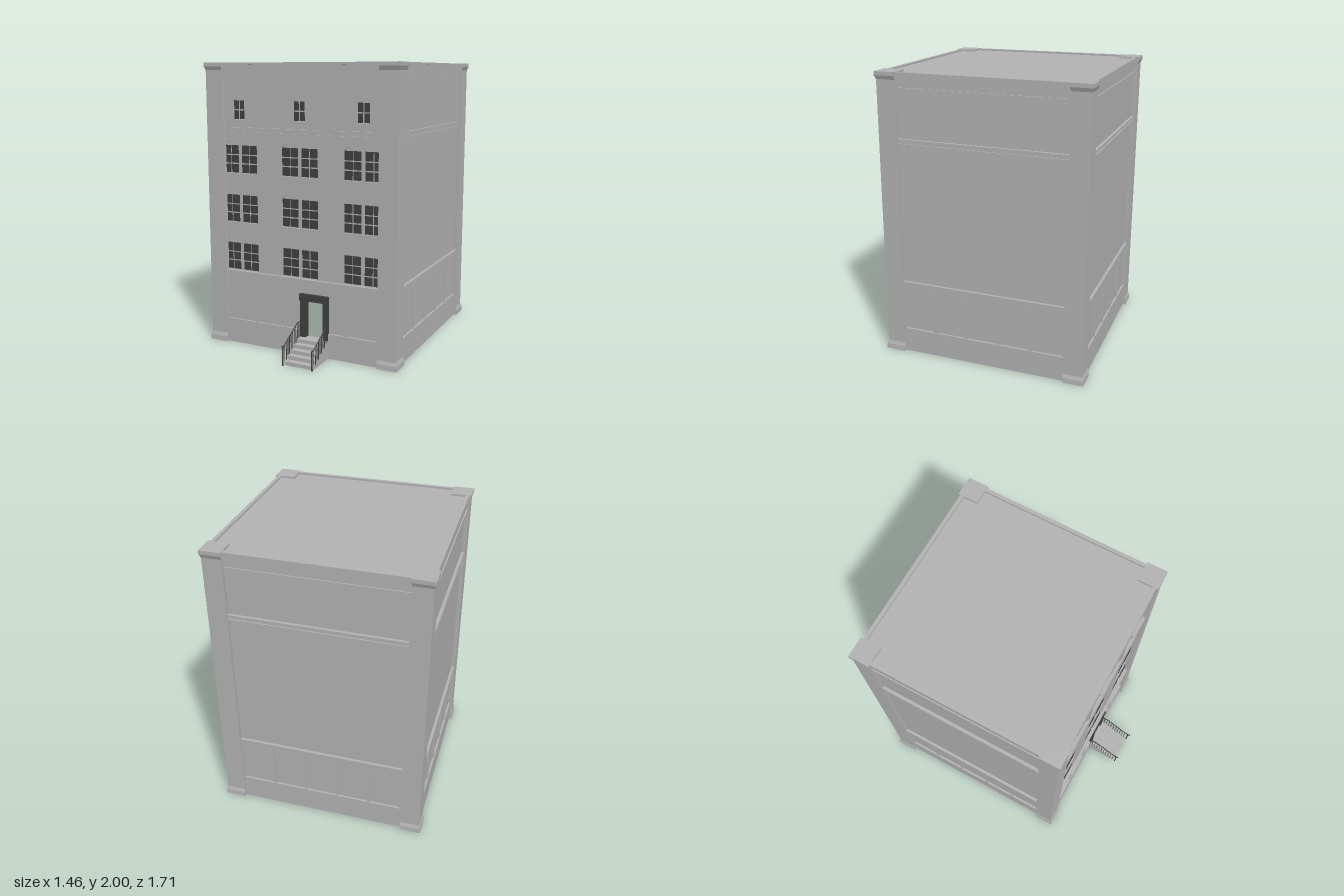
import * as THREE from 'three';

const stone = new THREE.MeshStandardMaterial({ color: 0xb3b3b3, side: THREE.DoubleSide });
stone.name = 'greyStone';
const dark = new THREE.MeshStandardMaterial({ color: 0x404040 });
dark.name = 'darkGlassAndTrim';

const INNER = 0.675; // inside face of every wall
const WALL = 0.695;  // main outside wall face
const HALF = 0.69;   // half length of each wall
const CENTRE_Z = -0.125;

function add(parent, name, geometry, material = stone) {
  const mesh = new THREE.Mesh(geometry, material);
  mesh.name = name;
  parent.add(mesh);
  return mesh;
}

// Box given by its limits on each axis
function block(parent, name, x0, x1, y0, y1, z0, z1, material) {
  const mesh = add(parent, name, new THREE.BoxGeometry(x1 - x0, y1 - y0, z1 - z0), material);
  mesh.position.set((x0 + x1) / 2, (y0 + y1) / 2, (z0 + z1) / 2);
  return mesh;
}

// Opening with a curved head, used for both holes and window infill
function archPath(path, cx, y, halfWidth, spring, rise) {
  path.moveTo(cx - halfWidth, y);
  path.lineTo(cx + halfWidth, y);
  path.lineTo(cx + halfWidth, y + spring);
  path.quadraticCurveTo(cx, y + spring + 2 * rise, cx - halfWidth, y + spring);
  path.lineTo(cx - halfWidth, y);
  return path;
}

function extrude(shape, z0, z1) {
  const g = new THREE.ExtrudeGeometry(shape, { depth: z1 - z0, bevelEnabled: false, curveSegments: 10 });
  return g.translate(0, 0, z0);
}

// Wall pierced by arched openings
function piercedWall(parent, name, y0, y1, windows) {
  const shape = new THREE.Shape();
  shape.moveTo(-HALF, y0);
  shape.lineTo(HALF, y0);
  shape.lineTo(HALF, y1);
  shape.lineTo(-HALF, y1);
  for (const w of windows) shape.holes.push(archPath(new THREE.Path(), ...w));
  add(parent, name, extrude(shape, INNER, WALL));
}

// Recessed infill with dark panes; columns and rows are [start, end] relative to centre and sill
function windowUnit(parent, name, spec, columns, rows) {
  const group = new THREE.Group();
  group.name = name;
  add(group, 'windowFrame', extrude(archPath(new THREE.Shape(), ...spec), INNER, 0.685));
  for (const [a, b] of columns)
    for (const [c, d] of rows)
      block(group, 'pane', spec[0] + a, spec[0] + b, spec[1] + c, spec[1] + d, 0.685, 0.688, dark);
  parent.add(group);
}

// One side of the building, facing +z before it is turned
function createSide(isFront) {
  const side = new THREE.Group();
  const course = (name, y0, y1, out, x0 = -HALF, x1 = HALF) => block(side, name, x0, x1, y0, y1, INNER, out);

  // Mouldings: bottom, top, outer face
  const bands = [
    [0.48, 0.527, 0.704], [0.527, 0.538, 0.715],
    [1.52, 1.528, 0.712], [1.528, 1.55, 0.704], [1.55, 1.56, 0.715],
    [1.887, 1.9, 0.713], [1.9, 1.985, 0.705],
  ];
  for (const [y0, y1, out] of bands) course('moulding', y0, y1, out);
  block(side, 'parapetRim', -0.69, 0.69, 1.985, 2, 0.69, 0.716);

  // Plinth, panels and the doorway gap
  if (isFront) {
    for (const [x0, x1] of [[-HALF, 0.03], [0.205, HALF]]) {
      course('plinth', 0, 0.175, 0.71, x0, x1);
      course('lowerWall', 0.175, 0.48, WALL, x0, x1);
    }
    course('plinthUnderDoor', 0, 0.125, 0.71, 0.03, 0.205);
    course('wallOverDoor', 0.385, 0.48, WALL, 0.03, 0.205);
  } else {
    course('plinth', 0, 0.175, 0.71);
    course('lowerWall', 0.175, 0.48, WALL);
    course('middleWall', 0.538, 1.52, WALL);
    course('upperWall', 1.56, 1.887, WALL);
  }
  for (let i = 0; i < 6; i++) {
    if (isFront && i === 3) continue;
    const x = -0.585 + i * 0.234;
    block(side, 'lowerPilaster', x - 0.01, x + 0.01, 0.175, 0.48, 0.668, 0.706);
  }
  return side;
}

function addFrontDetails(front) {
  const bays = [-0.472, 0, 0.468];
  // Three rows of broad arched windows
  const large = [];
  for (const y of [0.54, 0.887, 1.237]) for (const x of bays) large.push([x, y, 0.14, 0.2, 0.04]);
  piercedWall(front, 'middleWall', 0.53, 1.52, large);
  const largeColumns = [[-0.135, -0.077], [-0.07, -0.014], [0.014, 0.07], [0.077, 0.135]];
  const largeRows = [[0.005, 0.064], [0.073, 0.126], [0.134, 0.196]];
  for (const w of large) windowUnit(front, 'archedWindow', w, largeColumns, largeRows);

  // Small top floor windows with sills
  const small = bays.map((x) => [x, 1.612, 0.045, 0.13, 0.012]);
  piercedWall(front, 'upperWall', 1.56, 1.887, small);
  for (const w of small) {
    windowUnit(front, 'topWindow', w, [[-0.041, -0.005], [0.005, 0.041]], [[0.004, 0.064], [0.072, 0.132]]);
    block(front, 'windowSill', w[0] - 0.076, w[0] + 0.076, 1.6, 1.612, 0.69, 0.712);
  }
  // Stepped pilasters between the top windows
  for (const x of [-0.237, 0.237]) {
    block(front, 'upperPilaster', x - 0.028, x + 0.028, 1.56, 1.887, 0.69, 0.702);
    block(front, 'upperPilasterFace', x - 0.013, x + 0.013, 1.56, 1.887, 0.69, 0.709);
  }
  // Door surround
  block(front, 'doorJamb', 0.008, 0.05, 0.127, 0.387, 0.672, 0.716, dark);
  block(front, 'doorJamb', 0.183, 0.222, 0.127, 0.387, 0.672, 0.716, dark);
  block(front, 'doorLintel', 0.005, 0.222, 0.387, 0.435, 0.672, 0.72, dark);
}

// Corner pier wrapping the outside of two walls, flared at foot and head
function pierGeometry() {
  const levels = [[0, 0.732], [0.035, 0.73], [0.06, 0.721], [1.95, 0.721], [1.975, 0.731], [2, 0.731]];
  const positions = [];
  const section = ([y, o]) =>
    [[0.588, 0.68], [0.588, o], [o, o], [o, 0.588], [0.68, 0.588]].map(([x, z]) => [x, y, z]);
  for (let i = 0; i + 1 < levels.length; i++) {
    const low = section(levels[i]), high = section(levels[i + 1]);
    for (let j = 0; j < 4; j++)
      positions.push(...low[j], ...low[j + 1], ...high[j + 1], ...low[j], ...high[j + 1], ...high[j]);
  }
  const g = new THREE.BufferGeometry();
  g.setAttribute('position', new THREE.Float32BufferAttribute(positions, 3));
  g.computeVertexNormals();
  return g;
}

function createStairs() {
  const stairs = new THREE.Group();
  stairs.name = 'entranceStairs';
  for (let k = 0; k < 5; k++)
    block(stairs, 'step', 0.008, 0.224, k * 0.025, (k + 1) * 0.025, 0.58, 0.812 - k * 0.044);

  const railY = (z) => 0.135 + 0.1 * THREE.MathUtils.clamp((0.81 - z) / 0.18, 0, 1);
  const stepY = (z) => (z > 0.812 ? 0 : 0.025 * Math.min(5, Math.floor((0.812 - z) / 0.044) + 1));
  for (const x of [0.006, 0.226]) {
    // Handrail: level, sloping, level
    const zs = [0.85, 0.81, 0.63, 0.585];
    for (let i = 0; i < 3; i++) {
      const a = new THREE.Vector3(x, railY(zs[i]), zs[i]);
      const b = new THREE.Vector3(x, railY(zs[i + 1]), zs[i + 1]);
      add(stairs, 'handrail', new THREE.TubeGeometry(new THREE.LineCurve3(a, b), 1, 0.004, 6), dark);
    }
    block(stairs, 'railPost', x - 0.004, x + 0.004, 0, 0.135, 0.826, 0.834, dark);
    for (let i = 0; i < 10; i++) {
      const z = 0.803 - i * 0.022;
      block(stairs, 'baluster', x - 0.002, x + 0.002, stepY(z), railY(z), z - 0.002, z + 0.002, dark);
    }
  }
  return stairs;
}

export function createModel() {
  const model = new THREE.Group();
  model.name = 'building';
  const shell = new THREE.Group();
  shell.name = 'shell';
  shell.position.z = CENTRE_Z;
  model.add(shell);

  // Four sides and four corner piers
  const names = ['front', 'left', 'back', 'right'];
  const pier = pierGeometry();
  names.forEach((label, i) => {
    const side = createSide(i === 0);
    side.name = label + 'Side';
    if (i === 0) addFrontDetails(side);
    add(side, 'cornerPier', pier);
    block(side, 'pierCap', 0.587, 0.731, 1.98, 2.001, 0.587, 0.731);
    side.rotation.y = (i * Math.PI) / 2;
    shell.add(side);
  });

  block(shell, 'roof', -0.7, 0.7, 1.965, 1.987, -0.7, 0.7);
  model.add(createStairs());
  return model;
}
